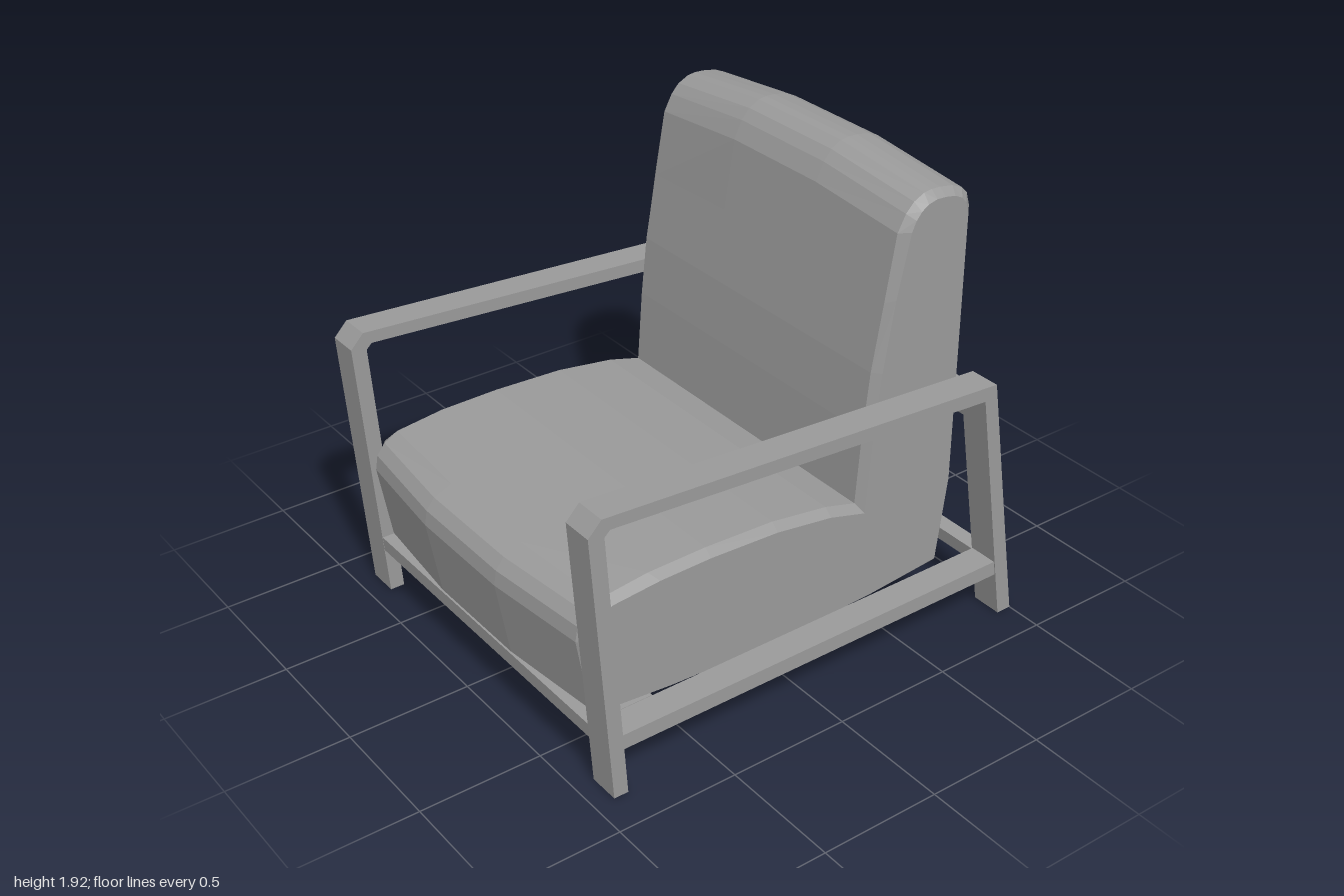
import * as THREE from 'three';

const material = new THREE.MeshStandardMaterial({ color: 0x9a9a9a, flatShading: true });

// Extrudes an x-y outline from z0 to z1
function slab(name, points, z0, z1) {
  const shape = new THREE.Shape(points.map(([x, y]) => new THREE.Vector2(x, y)));
  const geometry = new THREE.ExtrudeGeometry(shape, { depth: z1 - z0, bevelEnabled: false });
  geometry.translate(0, 0, z0);
  const mesh = new THREE.Mesh(geometry, material);
  mesh.name = name;
  return mesh;
}

// Upholstered body: L-shaped profiles lofted across z, fuller in the middle
function createCushion() {
  // clockwise from the lower front edge; the underside sags slightly
  const middle = [
    [-0.91, 0.256], [-0.945, 0.285], [-1, 0.6], [-0.99, 0.66], [-0.955, 0.705], [-0.88, 0.738],
    [-0.65, 0.762], [-0.4, 0.766], [-0.1, 0.755], [0.15, 0.72], [0.29, 0.682],
    [0.312, 0.98], [0.338, 1.22], [0.385, 1.5], [0.43, 1.78], [0.465, 1.85], [0.5, 1.89], [0.545, 1.914],
    [0.58, 1.919], [0.62, 1.917], [0.68, 1.906], [0.725, 1.885], [0.752, 1.855], [0.767, 1.8],
    [0.767, 0.64], [0.72, 0.256], [0.37, 0.231], [0.1, 0.217], [-0.25, 0.216], [-0.57, 0.231]];
  const side = [
    [-0.85, 0.284], [-0.87, 0.3], [-0.92, 0.6], [-0.915, 0.65], [-0.89, 0.692], [-0.82, 0.715],
    [-0.62, 0.733], [-0.4, 0.737], [-0.1, 0.725], [0.15, 0.69], [0.315, 0.645],
    [0.34, 0.98], [0.366, 1.22], [0.412, 1.5], [0.468, 1.75], [0.487, 1.79], [0.51, 1.818], [0.54, 1.838],
    [0.58, 1.847], [0.62, 1.845], [0.665, 1.837], [0.7, 1.82], [0.722, 1.795], [0.735, 1.75],
    [0.735, 0.64], [0.69, 0.29], [0.37, 0.26], [0.1, 0.247], [-0.25, 0.246], [-0.57, 0.26]];
  const edge = middle.map(([x, y]) => [
    x + 0.045 * THREE.MathUtils.clamp((-x - 0.75) / 0.2, 0, 1),
    y > 1.3 ? y - 0.045 * (y - 1.3) / 0.62 : y]);

  const sections = [[side, -0.72], [edge, -0.687], [middle, -0.24], [middle, 0.24], [edge, 0.687], [side, 0.72]];
  const n = middle.length;
  const positions = sections.flatMap(([profile, z]) => profile.flatMap(([x, y]) => [x, y, z]));
  const index = [];
  for (let s = 0; s < sections.length - 1; s++) {
    for (let i = 0; i < n; i++) {
      const a = s * n + i, b = s * n + (i + 1) % n;
      index.push(a, b + n, b, a, a + n, b + n);
    }
  }
  // flat side panels
  const outline = side.map(([x, y]) => new THREE.Vector2(x, y));
  const last = (sections.length - 1) * n;
  for (const [a, b, c] of THREE.ShapeUtils.triangulateShape(outline, [])) {
    const [p, q, r] = [a, b, c].map(i => outline[i]);
    const ccw = (q.x - p.x) * (r.y - p.y) - (q.y - p.y) * (r.x - p.x) > 0;
    const [u, v] = ccw ? [b, c] : [c, b];
    index.push(a + last, u + last, v + last, a, v, u);
  }
  const indexed = new THREE.BufferGeometry();
  indexed.setAttribute('position', new THREE.Float32BufferAttribute(positions, 3));
  indexed.setIndex(index);
  const geometry = indexed.toNonIndexed();
  geometry.computeVertexNormals();
  const mesh = new THREE.Mesh(geometry, material);
  mesh.name = 'cushion';
  return mesh;
}

export function createModel() {
  const group = new THREE.Group();
  group.name = 'armchair';
  group.add(createCushion());

  // Side frames: front leg, armrest and rear leg in one bent bar, plus a low rail
  const frame = [
    [-0.917, 0], [-0.857, 0], [-0.935, 1.108], [-0.912, 1.13], [0.768, 1.025],
    [0.935, 0], [1, 0], [0.82, 1.08], [-0.945, 1.182], [-1, 1.125]];
  const sideRail = [[-0.9, 0.195], [0.92, 0.195], [0.91, 0.258], [-0.905, 0.258]];
  for (const [label, sign] of [['front', 1], ['back', -1]]) {
    const [z0, z1] = sign > 0 ? [0.72, 0.848] : [-0.848, -0.72];
    group.add(slab(label + 'ArmFrame', frame, z0, z1));
    const inset = 0.004;
    group.add(slab(label + 'SideRail', sideRail, z0 + inset, z1 - inset));
  }

  // Cross members between the side frames; the rear ones lean with the legs
  const half = 0.722;
  group.add(slab('backrestRail', [[0.811, 0.884], [0.849, 0.892], [0.825, 1.025], [0.786, 1.018]], -half, half));
  group.add(slab('lowerRearRail', [[0.903, 0.19], [0.963, 0.2], [0.952, 0.262], [0.893, 0.252]], -half, half));
  group.add(slab('frontSeatBoard', [[-0.93, 0.196], [-0.66, 0.196], [-0.66, 0.258], [-0.935, 0.258]], -half, half));
  return group;
}
